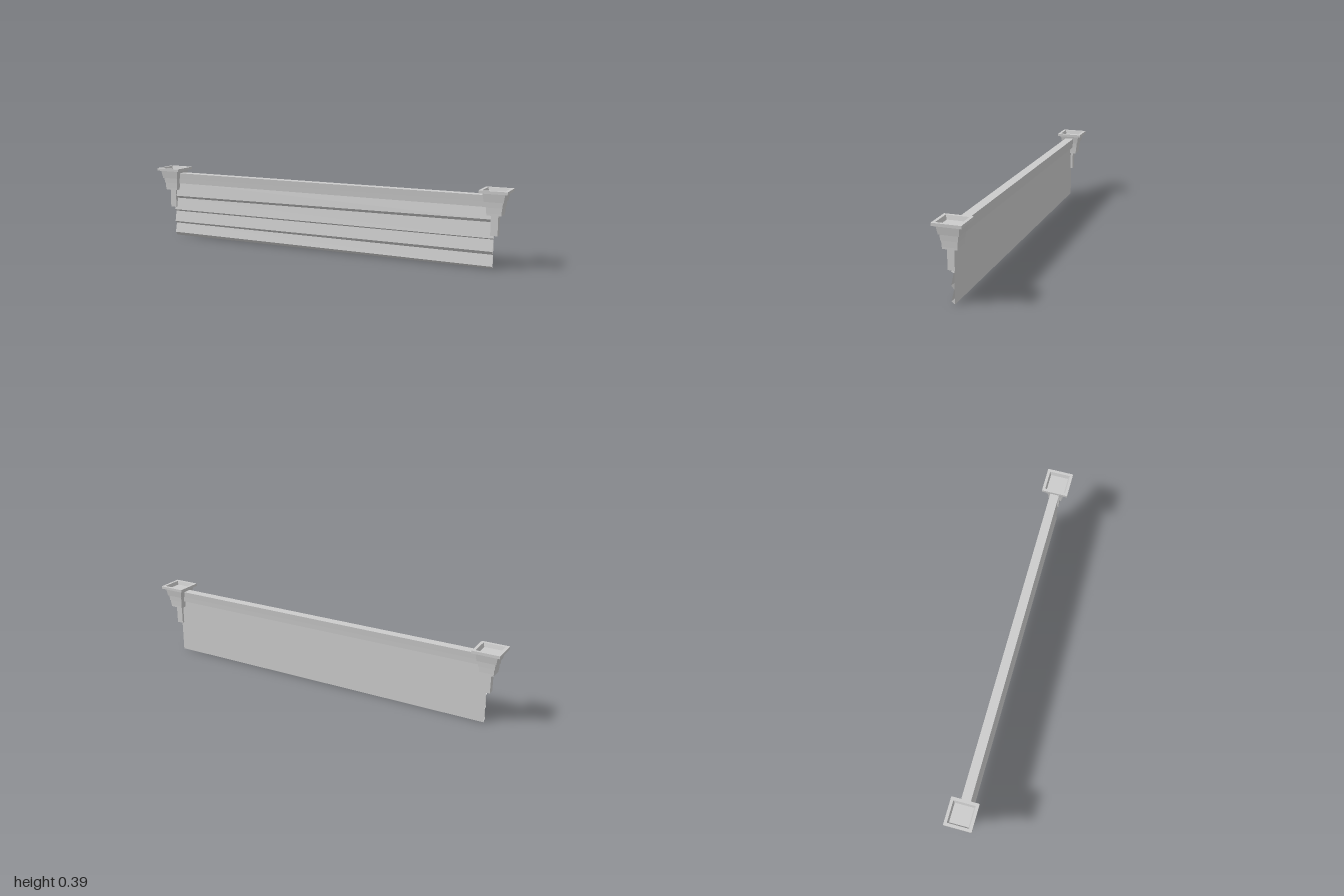
import * as THREE from 'three';

const mat = new THREE.MeshStandardMaterial({ color: 0xcccccc, flatShading: true });
const openMat = new THREE.MeshStandardMaterial({ color: 0xcccccc, flatShading: true, side: THREE.DoubleSide });

function add(parent, name, geometry, material = mat) {
  const mesh = new THREE.Mesh(geometry, material);
  mesh.name = name;
  parent.add(mesh);
  return mesh;
}

// Square solid of revolution from [half width, height] pairs, bottom to top
function squareLathe(profile) {
  const pts = profile.map(([h, y]) => new THREE.Vector2(h * Math.SQRT2, y));
  return new THREE.LatheGeometry(pts, 4, Math.PI / 4);
}

// Surface between a left and a right [y, z] section
function skin(left, right, halfLength) {
  const pos = [];
  for (let i = 0; i < left.length - 1; i++) {
    const [a, b] = [left[i], left[i + 1]].map(([y, z]) => [-halfLength, y, z]);
    const [d, c] = [right[i], right[i + 1]].map(([y, z]) => [halfLength, y, z]);
    pos.push(...a, ...b, ...c, ...a, ...c, ...d);
  }
  const g = new THREE.BufferGeometry();
  g.setAttribute('position', new THREE.Float32BufferAttribute(pos, 3));
  g.computeVertexNormals();
  return g;
}

// Stepped bracket with a shallow dished top, on a short post
function createBracket(side) {
  const bracket = new THREE.Group();
  bracket.name = side > 0 ? 'leftBracket' : 'rightBracket';
  add(bracket, 'bracketCap', squareLathe([
    [0, 0.268], [0.036, 0.268], [0.036, 0.278], [0.037, 0.278], [0.038, 0.307],
    [0.041, 0.307], [0.043, 0.335], [0.048, 0.335], [0.055, 0.378],
    [0.07, 0.378], [0.07, 0.392], [0.055, 0.392], [0.048, 0.372], [0, 0.372],
  ]));
  const post = add(bracket, 'bracketPost', new THREE.BoxGeometry(0.036, 0.103, 0.034));
  post.position.set(0, 0.2185, 0.004);
  bracket.position.x = 0.93 * side;
  return bracket;
}

export function createModel() {
  const model = new THREE.Group();
  model.name = 'sidingPanel';

  model.add(createBracket(-1), createBracket(1));

  // Stepped rail along the top
  const half = [[0.016, 0.305], [0.018, 0.332], [0.021, 0.332], [0.024, 0.364]];
  const outline = [...half, ...half.map(([z, y]) => [-z, y]).reverse()];
  const railShape = new THREE.Shape(outline.map(([z, y]) => new THREE.Vector2(z, y)));
  const rail = new THREE.ExtrudeGeometry(railShape, { depth: 1.8, bevelEnabled: false });
  rail.translate(0, 0, -0.9).rotateY(Math.PI / 2);
  add(model, 'topRail', rail);

  // Overlapping boards, slightly out of level: lip and underside heights at each end
  const laps = [
    { left: [0.231, 0.218], right: [0.246, 0.231] },
    { left: [0.152, 0.142], right: [0.153, 0.146] },
    { left: [0.083, 0.072], right: [0.087, 0.07] },
    { left: [0.019, 0.003], right: [0.013, 0.002] },
  ];
  const section = (end) => [
    [0.307, 0.004],
    ...laps.flatMap((lap) => [[lap[end][0], 0.016], [lap[end][1], 0.003]]),
    [0, 0],
  ];
  add(model, 'boards', skin(section('left'), section('right'), 0.925), openMat);

  // Flat backing sheet
  const back = [[0, 0], [0.307, 0]];
  add(model, 'backSheet', skin(back, back, 0.925), openMat);

  return model;
}
